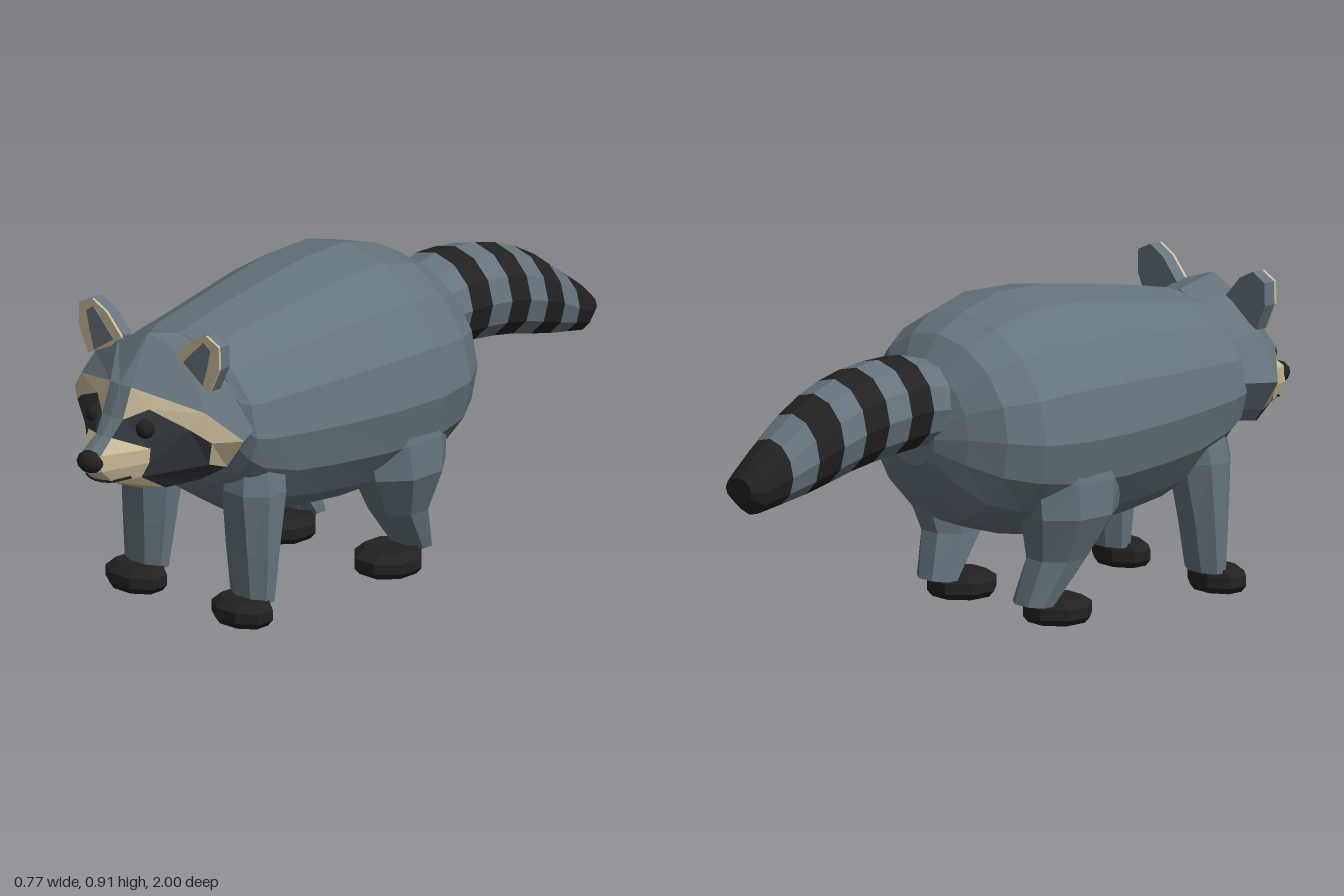
import * as THREE from 'three';

const mat = (name, hex) => {
  const m = new THREE.MeshStandardMaterial({ color: hex });
  m.name = name;
  return m;
};

// Flat-faceted geometry from convex polygons of Vector3, corners counter-clockwise
function facets(polys) {
  const pos = [];
  for (const p of polys)
    for (let i = 1; i < p.length - 1; i++)
      for (const v of [p[0], p[i], p[i + 1]]) pos.push(v.x, v.y, v.z);
  const g = new THREE.BufferGeometry();
  g.setAttribute('position', new THREE.Float32BufferAttribute(pos, 3));
  g.computeVertexNormals();
  return g;
}

// Skin through rings of equal length, with optional end caps
function loft(rings, capStart = true, capEnd = true) {
  const polys = [];
  for (let i = 0; i < rings.length - 1; i++) {
    const a = rings[i], b = rings[i + 1], n = a.length;
    for (let j = 0; j < n; j++) {
      const k = (j + 1) % n;
      polys.push([a[j], a[k], b[k], b[j]]);
    }
  }
  if (capStart) polys.push([...rings[0]].reverse());
  if (capEnd) polys.push(rings[rings.length - 1]);
  return facets(polys);
}

// Upright ring facing z: separate heights above and below its widest level
function zRing(n, z, top, bottom, hw, mid = (top + bottom) / 2) {
  return Array.from({ length: n }, (_, j) => {
    const a = (j / n) * Math.PI * 2, s = Math.sin(a);
    return new THREE.Vector3(hw * Math.cos(a), mid + s * (s > 0 ? top - mid : mid - bottom), z);
  });
}

// Level ring at height y
function yRing(n, y, cx, hw, cz, hd) {
  return Array.from({ length: n }, (_, j) => {
    const a = ((j + 0.5) / n) * Math.PI * 2;
    return new THREE.Vector3(cx + hw * Math.cos(a), y, cz - hd * Math.sin(a));
  });
}

// Face corners on the model's left half
const P = {
  T: [0, 0.843, 0.735], T2: [0.13, 0.8, 0.72], T3: [0.24, 0.72, 0.7], C: [0.328, 0.592, 0.69],
  J1: [0.26, 0.5, 0.69], J1b: [0.19, 0.455, 0.725], J2: [0.12, 0.43, 0.79], J3: [0.06, 0.42, 0.815],
  J0: [0, 0.413, 0.82], F0: [0, 0.72, 0.85], F1: [0.04, 0.72, 0.845], B2: [0.24, 0.67, 0.755],
  E1: [0.1, 0.667, 0.835], E2: [0.04, 0.633, 0.878], E3: [0.21, 0.62, 0.785], E4: [0.26, 0.585, 0.75],
  S0: [0, 0.633, 0.885], N0: [0, 0.585, 0.92], N1: [0.03, 0.585, 0.912], M1: [0.12, 0.56, 0.85],
  M2: [0.12, 0.52, 0.855], P0: [0, 0.55, 0.97], P1: [0.035, 0.545, 0.962], Q0: [0, 0.49, 0.975],
  Q1: [0.04, 0.5, 0.962], R0: [0, 0.465, 0.945], R1: [0.05, 0.465, 0.93], R: [0.1, 0.475, 0.865],
  K1: [0.24, 0.515, 0.74],
};
const FACES = {
  forehead: ['T F0 F1 T2', 'T2 F1 B2 T3', 'T3 B2 C', 'F0 S0 E2 F1', 'S0 N0 N1 E2', 'N0 P0 P1 N1'],
  browAndCheekPatches: ['F1 E2 E1', 'F1 E1 B2', 'E1 E3 B2', 'B2 E3 E4', 'B2 E4 C', 'E4 K1 J1 C'],
  eyeMask: ['E2 N1 M1 E1', 'E1 M1 E3', 'E3 M1 M2', 'E3 M2 K1', 'E3 K1 E4', 'K1 M2 R', 'K1 R J1b',
    'K1 J1b J1', 'R J2 J1b'],
  muzzle: ['N1 P1 M1', 'P1 Q1 M2 M1', 'Q1 R1 R M2', 'R1 J3 J2 R', 'R0 J0 J3 R1', 'Q0 R0 R1 Q1', 'P0 Q0 Q1 P1'],
};
const OUTLINE = 'T T2 T3 C J1 J1b J2 J3 J0';

const corner = (key, s = 1) => new THREE.Vector3(P[key][0] * s, P[key][1], P[key][2]);
const both = (list) => list.flatMap((f) => {
  const keys = f.split(' ');
  return [keys.map((k) => corner(k)), keys.map((k) => corner(k, -1)).reverse()];
});

export function createModel() {
  const fur = mat('greyFur', 0x66747d);
  const cream = mat('creamFur', 0xc9b998);
  const dark = mat('maskFur', 0x34383d);
  const black = mat('black', 0x222222);

  const model = new THREE.Group();
  model.name = 'raccoon';
  const add = (parent, name, geometry, material) => {
    const m = new THREE.Mesh(geometry, material);
    m.name = name;
    parent.add(m);
    return m;
  };
  const group = (name) => {
    const g = new THREE.Group();
    g.name = name;
    model.add(g);
    return g;
  };

  // Body: z, top, bottom, half width, widest level
  const bodyRings = [
    [-0.37, 0.64, 0.46, 0.1, 0.55], [-0.33, 0.74, 0.37, 0.2, 0.56], [-0.27, 0.82, 0.29, 0.3, 0.56],
    [-0.18, 0.87, 0.255, 0.36, 0.55], [-0.05, 0.908, 0.215, 0.383, 0.545], [0.12, 0.904, 0.212, 0.378, 0.545],
    [0.3, 0.875, 0.225, 0.345, 0.545], [0.44, 0.85, 0.245, 0.32, 0.55], [0.56, 0.825, 0.32, 0.305, 0.56],
    [0.605, 0.81, 0.38, 0.295, 0.57], [0.625, 0.79, 0.43, 0.265, 0.59],
  ];
  add(model, 'body', loft(bodyRings.map((r) => zRing(16, ...r))), fur);

  // Tail: alternating bands from the tip forward
  const tail = group('tail');
  const tailRings = [
    [-1, 0.52, 0.45, 0.055], [-0.96, 0.56, 0.41, 0.075], [-0.885, 0.615, 0.425, 0.1],
    [-0.805, 0.675, 0.44, 0.12], [-0.725, 0.72, 0.46, 0.133], [-0.65, 0.75, 0.48, 0.14],
    [-0.57, 0.77, 0.495, 0.145], [-0.49, 0.78, 0.505, 0.147], [-0.41, 0.782, 0.512, 0.147],
    [-0.3, 0.75, 0.52, 0.135],
  ].map((r) => zRing(12, ...r));
  add(tail, 'tailTip', loft(tailRings.slice(0, 3), true, false), black);
  for (let i = 2; i < tailRings.length - 1; i++)
    add(tail, 'tailBand' + (i - 1), loft(tailRings.slice(i, i + 2), false, false), i % 2 ? black : fur);

  // Head: coloured face panels and the grey skull behind them
  const head = group('head');
  const faceMats = { forehead: fur, browAndCheekPatches: cream, eyeMask: dark, muzzle: cream };
  for (const name in FACES) add(head, name, facets(both(FACES[name])), faceMats[name]);
  const keys = OUTLINE.split(' ');
  const rim = [
    ...keys.map((k) => corner(k, -1)),
    ...keys.slice(1, -1).reverse().map((k) => corner(k)),
  ];
  const back = rim.map((v) => new THREE.Vector3(v.x * 0.87, 0.6 + (v.y - 0.6) * 0.87, 0.61));
  add(head, 'skull', loft([back, rim], true, false), fur);

  // Nose and mouth
  const nose = new THREE.IcosahedronGeometry(1, 1);
  nose.scale(0.044, 0.033, 0.036);
  add(head, 'nose', nose, black).position.set(0, 0.522, 0.964);
  const smile = new THREE.CatmullRomCurve3([
    [-0.085, 0.478, 0.89], [-0.045, 0.466, 0.934], [0, 0.464, 0.947], [0.045, 0.466, 0.934], [0.085, 0.478, 0.89],
  ].map((p) => new THREE.Vector3(...p)));
  add(head, 'mouth', new THREE.TubeGeometry(smile, 10, 0.004, 4), black);

  // Ears and eyes
  const earOuter = [[0.235, 0.725], [0.272, 0.8], [0.27, 0.865], [0.22, 0.888], [0.165, 0.862], [0.095, 0.79]];
  const earInner = [[0.21, 0.74], [0.228, 0.8], [0.24, 0.85], [0.213, 0.868], [0.135, 0.79]];
  const plate = (pts, s, depth, z) => {
    const shape = new THREE.Shape(pts.map(([x, y]) => new THREE.Vector2(x * s, y)));
    const g = new THREE.ExtrudeGeometry(shape, { depth, bevelEnabled: false });
    g.translate(0, 0, z);
    return g;
  };
  for (const [side, s] of [['left', 1], ['right', -1]]) {
    add(head, side + 'Ear', plate(earOuter, s, 0.035, 0.69), fur);
    add(head, side + 'EarRim', plate(earOuter, s, 0.008, 0.725), cream);
    add(head, side + 'EarInner', plate(earInner, s, 0.004, 0.732), fur);
    add(head, side + 'Eye', new THREE.SphereGeometry(0.028, 12, 8), black).position.set(s * 0.098, 0.613, 0.847);
  }

  // Legs: y, centre x, half width, centre z, half depth
  const frontLeg = [
    [0.06, 0.205, 0.075, 0.53, 0.042], [0.2, 0.2, 0.088, 0.525, 0.06],
    [0.38, 0.195, 0.1, 0.515, 0.09], [0.52, 0.19, 0.08, 0.5, 0.08],
  ];
  const hindLeg = [
    [0.06, 0.205, 0.072, -0.1, 0.046], [0.19, 0.225, 0.09, -0.03, 0.088],
    [0.32, 0.25, 0.125, -0.005, 0.15], [0.42, 0.25, 0.12, 0, 0.165], [0.54, 0.25, 0.1, 0, 0.11],
  ];
  // Paw: y and outline scale
  const pawRings = [[0, 0.84], [0.018, 1], [0.048, 1], [0.07, 0.78]];
  const limbs = [['front', frontLeg, 0.572, 0.072], ['hind', hindLeg, -0.01, 0.102]];
  for (const [side, s] of [['Left', 1], ['Right', -1]])
    for (const [name, rings, pawZ, pawDepth] of limbs) {
      const limb = group(name + side + 'Limb');
      add(limb, name + side + 'Leg', loft(rings.map(([y, x, ...r]) => yRing(8, y, x * s, ...r))), fur);
      const paw = pawRings.map(([y, k]) => yRing(8, y, 0.205 * s, 0.1 * k, pawZ - (y > 0.06 ? 0.012 : 0), pawDepth * k));
      add(limb, name + side + 'Paw', loft(paw), black);
    }

  return model;
}
